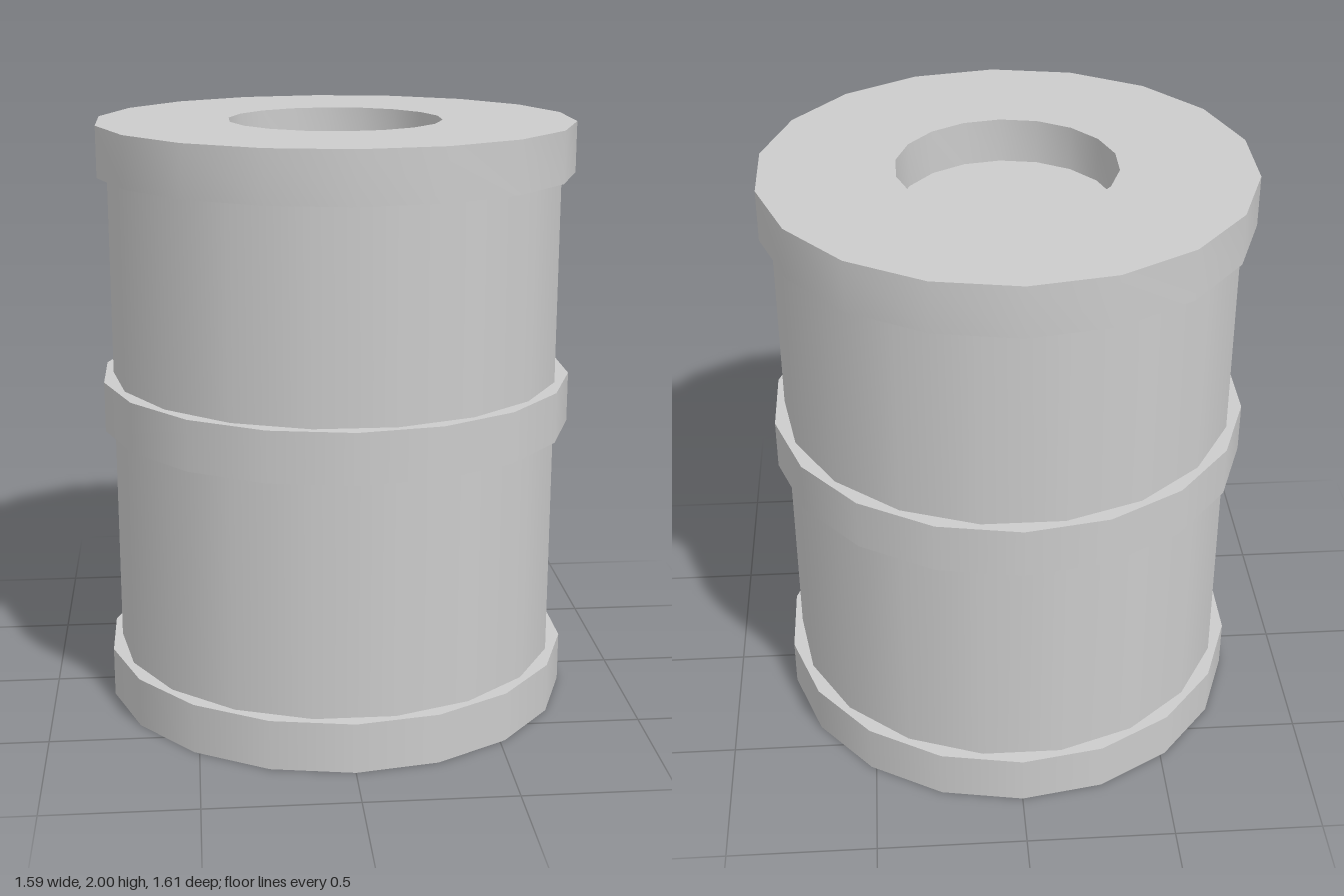
import * as THREE from 'three';
import { toCreasedNormals } from 'three/addons/utils/BufferGeometryUtils.js';

const SIDES = 18;
const RIM = 0.805;
const BAND = 0.17;

export function createModel() {
  const group = new THREE.Group();
  const material = new THREE.MeshStandardMaterial({ color: 0xcccccc });

  const add = (name, geometry, y) => {
    const mesh = new THREE.Mesh(geometry, material);
    mesh.name = name;
    mesh.position.y = y;
    group.add(mesh);
    return mesh;
  };

  // Barrel body, its corners turned half a step against the bands;
  // its top forms the floor of the opening
  const bottom = 0.02, top = 1.85;
  const body = add('body', new THREE.CylinderGeometry(0.766, 0.766, top - bottom, SIDES), (top + bottom) / 2);
  body.rotation.y = Math.PI / 2;

  // Solid base and middle bands
  const band = new THREE.CylinderGeometry(RIM, RIM, BAND, SIDES);
  add('baseBand', band, BAND / 2);
  add('middleBand', band, 1.055);

  // Lid ring with a round opening
  const hole = 0.36;
  const profile = [[hole, 0], [RIM, 0], [RIM, BAND], [hole, BAND], [hole, 0]]
    .map(([r, y]) => new THREE.Vector2(r, y));
  add('lidRing', toCreasedNormals(new THREE.LatheGeometry(profile, SIDES), Math.PI / 5), 2 - BAND);

  return group;
}
